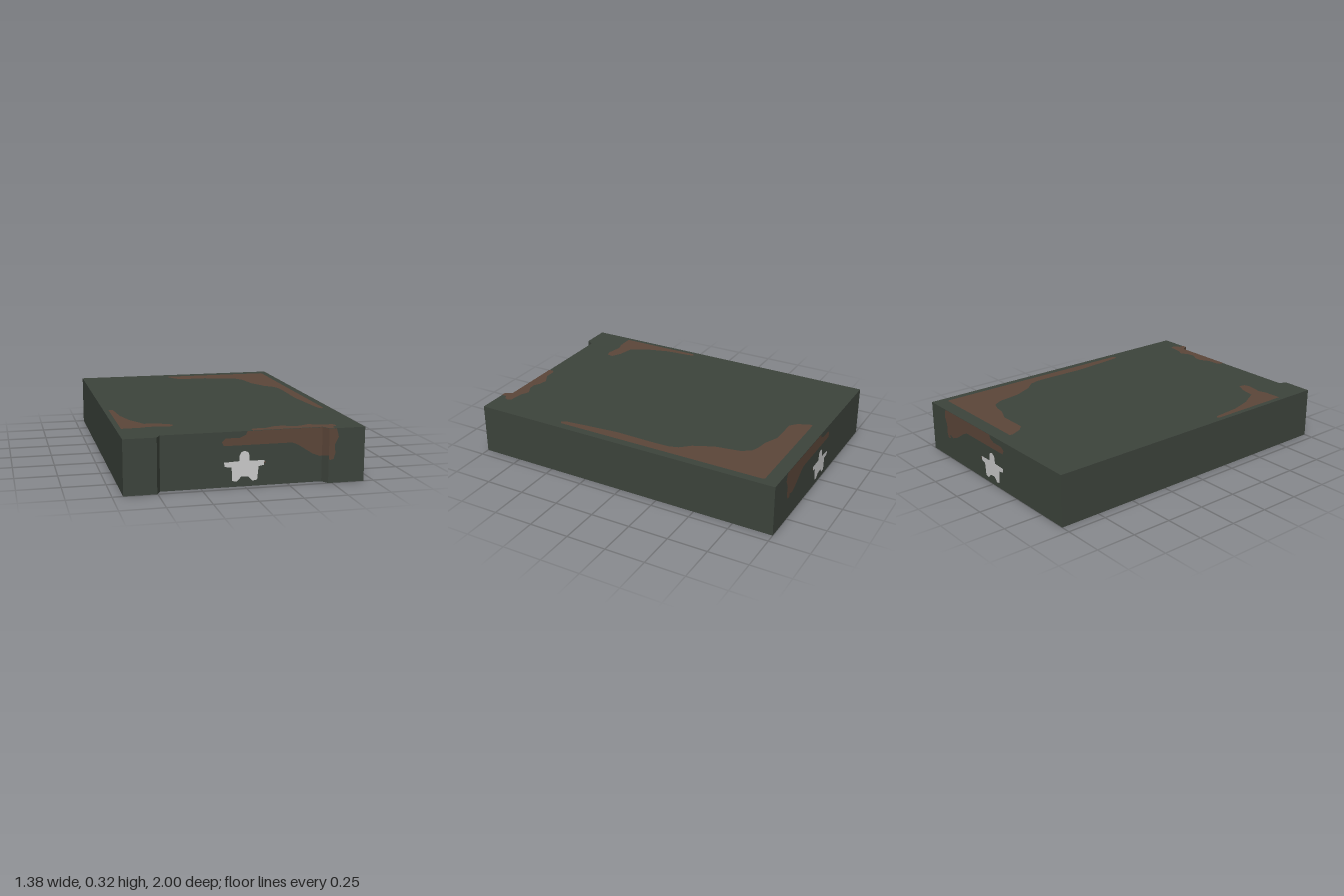
import * as THREE from 'three';

const H = 0.316, LIFT = 0.002;
const X0 = 0.452, X1 = 0.477, RECESS = 0.955; // right-hand slope of the front recess

const paint = new THREE.MeshStandardMaterial({ color: 0x3d443c });
paint.name = 'darkGreenPaint';
const rust = new THREE.MeshStandardMaterial({ color: 0x5c4639 });
rust.name = 'rust';
const white = new THREE.MeshStandardMaterial({ color: 0xcacaca });
white.name = 'whitePaint';

const toShape = (pts) => new THREE.Shape(pts.map(([x, y]) => new THREE.Vector2(x, y)));

function addMesh(group, name, geometry, material) {
  const mesh = new THREE.Mesh(geometry, material);
  mesh.name = name;
  group.add(mesh);
  return mesh;
}

// Flat decal on the top face, outline given as [x, z]
function topDecal(group, name, pts) {
  const geo = new THREE.ShapeGeometry(toShape(pts.map(([x, z]) => [x, -z])));
  addMesh(group, name, geo.rotateX(-Math.PI / 2), rust).position.y = H + LIFT;
}

// Decal on the front, following the depth rule of the recess
function frontDecal(group, name, pts, material, depth) {
  const geo = new THREE.ShapeGeometry(toShape(pts));
  const pos = geo.attributes.position;
  for (let i = 0; i < pos.count; i++) pos.setZ(i, depth(pos.getX(i)) + LIFT);
  geo.computeVertexNormals();
  addMesh(group, name, geo, material);
}

// Decal on the back, same x positions as on the front
function backDecal(group, name, pts, material) {
  const geo = new THREE.ShapeGeometry(toShape(pts.map(([x, y]) => [-x, y])));
  addMesh(group, name, geo.rotateY(Math.PI), material).position.z = -1 - LIFT;
}

export function createModel() {
  const group = new THREE.Group();
  group.name = 'slab';

  // Body: plan outline with a shallow recess in the front edge
  const plan = [[-0.69, -1], [-0.503, -1], [-0.48, -RECESS], [X0, -RECESS], [X1, -1],
    [0.69, -1], [0.69, 1], [-0.69, 1]];
  const body = new THREE.ExtrudeGeometry(toShape(plan), { depth: H, bevelEnabled: false });
  addMesh(group, 'body', body.rotateX(-Math.PI / 2), paint);

  // Rust patches on the top
  topDecal(group, 'topRustLarge', [[-0.07, -0.915], [0.635, -0.915], [0.643, -0.905], [0.643, 0.44],
    [0.625, 0.457], [0.61, 0.43], [0.595, 0.29], [0.575, 0.08], [0.58, -0.16], [0.578, -0.27],
    [0.56, -0.33], [0.505, -0.39], [0.45, -0.51], [0.425, -0.66], [0.39, -0.72], [0.335, -0.74],
    [0.267, -0.75], [0.177, -0.79], [0, -0.79], [-0.04, -0.825], [-0.073, -0.895]]);
  topDecal(group, 'topRustCorner', [[-0.66, 0.22], [-0.647, 0.207], [-0.634, 0.22], [-0.617, 0.4],
    [-0.58, 0.53], [-0.515, 0.65], [-0.42, 0.67], [-0.357, 0.705], [-0.365, 0.745], [-0.4, 0.755],
    [-0.5, 0.735], [-0.55, 0.75], [-0.66, 0.753]]);
  topDecal(group, 'topRustEdge', [[0.045, RECESS], [0.045, 0.925], [0.06, 0.91], [0.135, 0.91],
    [0.2, 0.873], [0.25, 0.88], [0.295, 0.905], [0.335, 0.9], [0.395, 0.87], [0.437, 0.893],
    [0.53, 0.905], [0.542, 0.93], [0.535, 0.95], [0.507, 0.965], [0.507, 1], [X1, 1], [X0, RECESS]]);

  // Rust on the upright faces, split where the front face bends
  const wide = [[X0, H], [0.015, H], [0.005, 0.295], [-0.03, 0.28], [-0.11, 0.28], [-0.132, 0.26],
    [-0.12, 0.237], [0.275, 0.237], [0.31, 0.222], [0.395, 0.167], [0.44, 0.15], [X0, 0.152]];
  const slope = [[X0, 0.152], [X1, 0.16], [X1, H], [X0, H]];
  const end = [[X1, H], [X1, 0.14], [0.487, 0.135], [0.505, 0.14], [0.515, 0.175], [0.51, 0.22],
    [0.533, 0.267], [0.52, H]];
  const star = [[-0.03, 0.18], [-0.02, 0.198], [0, 0.205], [0.02, 0.195], [0.026, 0.18], [0.026, 0.147],
    [0.115, 0.145], [0.11, 0.118], [0.08, 0.112], [0.072, 0.035], [0.045, 0.03], [0.02, 0.055],
    [-0.02, 0.058], [-0.045, 0.03], [-0.072, 0.035], [-0.076, 0.112], [-0.115, 0.118],
    [-0.12, 0.143], [-0.032, 0.147]];
  const fleck = [[0.112, 0.13], [0.118, 0.125], [0.119, 0.138], [0.113, 0.142]];

  const depth = (x) => RECESS + (1 - RECESS) * THREE.MathUtils.clamp((x - X0) / (X1 - X0), 0, 1);
  const decals = [['RustWide', wide, rust], ['RustSlope', slope, rust], ['RustEnd', end, rust],
    ['Star', star, white], ['RustFleck', fleck, rust]];
  for (const [name, pts, material] of decals) {
    frontDecal(group, 'front' + name, pts, material, depth);
    backDecal(group, 'back' + name, pts, material);
  }
  return group;
}
